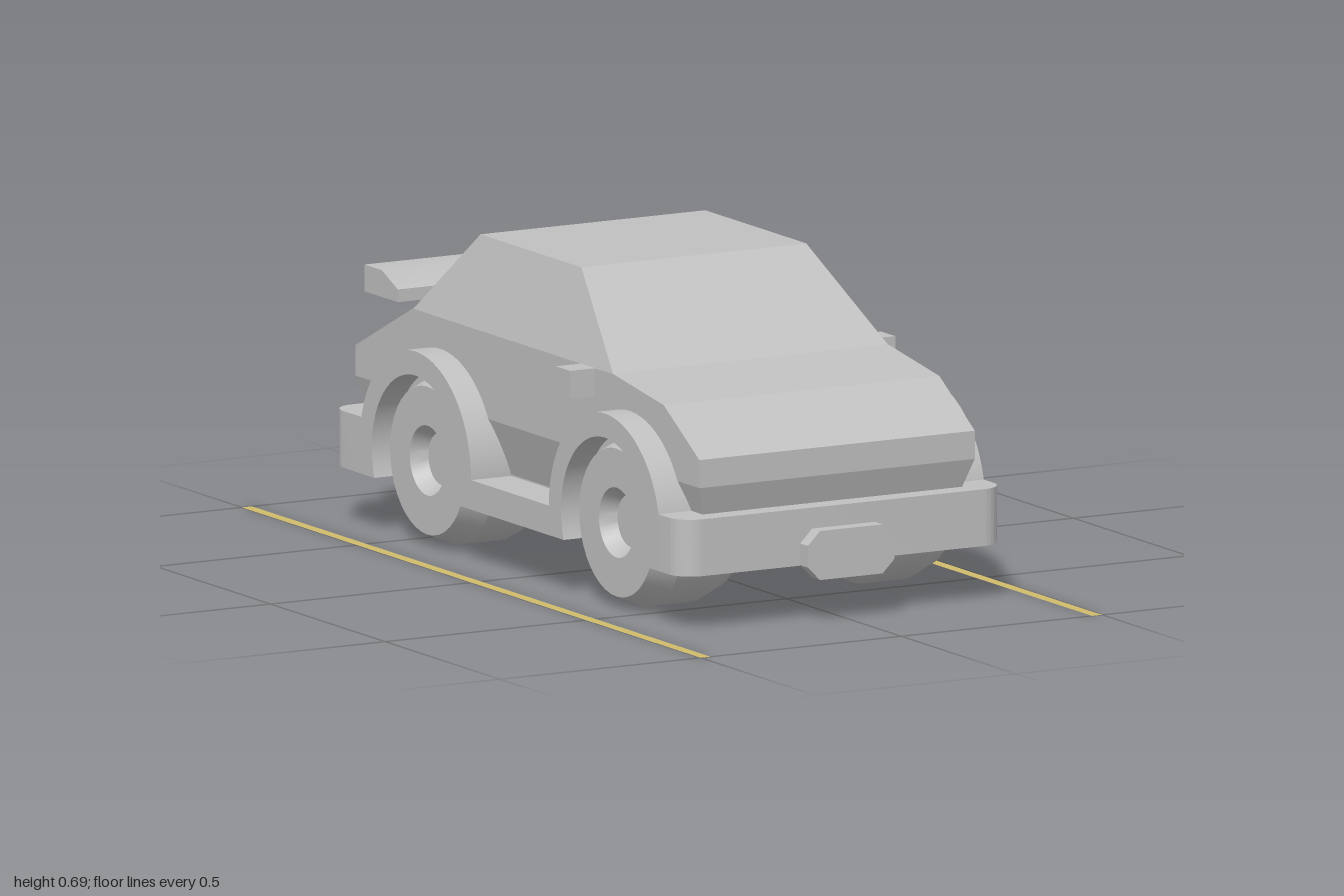
import * as THREE from 'three';
import { toCreasedNormals } from 'three/addons/utils/BufferGeometryUtils.js';
import { ConvexGeometry } from 'three/addons/geometries/ConvexGeometry.js';

const WHEEL_Y = 0.19, WHEEL_Z = [0.415, -0.41];
const FLOOR = 0.125, SILL = 0.19, HALF = 0.405;

// Solid from a (z, y) side shape, running from x0 to x1
function extrudeX(shape, x0, x1) {
  const g = new THREE.ExtrudeGeometry(shape, { depth: x1 - x0, bevelEnabled: false, curveSegments: 32 });
  return toCreasedNormals(g.rotateY(-Math.PI / 2).translate(x1, 0, 0), 0.5);
}

function polygon(points) {
  return new THREE.Shape(points.map(p => new THREE.Vector2(...p)));
}

function box(x0, x1, y0, y1, z0, z1) {
  return new THREE.BoxGeometry(x1 - x0, y1 - y0, z1 - z0)
    .translate((x0 + x1) / 2, (y0 + y1) / 2, (z0 + z1) / 2);
}

// Convex hull of [half width, y, z] points mirrored in x
function hull(points) {
  return new ConvexGeometry(points.flatMap(([x, y, z]) =>
    [new THREE.Vector3(x, y, z), new THREE.Vector3(-x, y, z)]));
}

// Bumper with rounded outer corners, facing +z
function bumperGeometry(inner, outer) {
  const r = 0.055, s = new THREE.Shape();
  s.moveTo(-HALF, inner);
  s.lineTo(HALF, inner);
  s.lineTo(HALF, outer - r);
  s.absarc(HALF - r, outer - r, r, 0, Math.PI / 2, false);
  s.lineTo(-HALF + r, outer);
  s.absarc(-HALF + r, outer - r, r, Math.PI / 2, Math.PI, false);
  const g = new THREE.ExtrudeGeometry(s, { depth: 0.125, bevelEnabled: false, curveSegments: 8 });
  return toCreasedNormals(g.rotateX(Math.PI / 2).translate(0, 0.25, 0), 0.5);
}

// Octagonal plate on a bumper, facing +z
function plateGeometry(z) {
  const w = 0.108, h = 0.054, c = 0.03;
  const s = polygon([[-w, -h + c], [-w + c, -h], [w - c, -h], [w, -h + c],
    [w, h - c], [w - c, h], [-w + c, h], [-w, h - c]]);
  return new THREE.ExtrudeGeometry(s, { depth: 0.035, bevelEnabled: false }).translate(0, 0.15, z);
}

// Fender ring cut off at floor height
function archShape(z) {
  const R = 0.243, r = 0.19, drop = WHEEL_Y - FLOOR;
  const a = Math.asin(drop / R), b = Math.asin(drop / r);
  const s = new THREE.Shape();
  s.absarc(z, WHEEL_Y, R, -a, Math.PI + a, false);
  s.absarc(z, WHEEL_Y, r, Math.PI + b, -b, true);
  return s;
}

export function createModel() {
  const car = new THREE.Group();
  car.name = 'car';
  const grey = new THREE.MeshStandardMaterial({ color: 0xc0c0c0 });
  grey.name = 'light grey';
  const yellow = new THREE.MeshStandardMaterial({ color: 0xd0bc6c, side: THREE.DoubleSide });
  yellow.name = 'sand yellow';
  const add = (name, geometry, material = grey) => {
    const m = new THREE.Mesh(geometry, material);
    m.name = name;
    car.add(m);
    return m;
  };

  // Body shell, tapering in below the waist
  const w = 0.343;
  add('body', hull([
    [0.304, SILL, 0.68], [w, 0.313, 0.72], [w, 0.375, 0.72], [w, 0.47, 0.565], [w, 0.502, 0.345],
    [w, 0.502, -0.53], [w, 0.38, -0.78], [w, 0.313, -0.78], [0.304, SILL, -0.735],
  ]));
  add('cabin', hull([
    [w, 0.50, 0.345], [0.28, 0.69, 0.095], [0.28, 0.69, -0.345], [w, 0.50, -0.53],
  ]));

  // Floor and bumpers
  add('floor', box(-0.305, 0.305, FLOOR, 0.22, -0.61, 0.61));
  add('frontBumper', bumperGeometry(0.605, 0.748));
  add('rearBumper', bumperGeometry(0.60, 0.782)).rotation.y = Math.PI;
  add('frontPlate', plateGeometry(0.747));
  add('rearPlate', plateGeometry(0.78)).rotation.y = Math.PI;

  // Wheel with bevelled tyre and dished hub
  const wheelProfile = [[0, -0.11], [0.163, -0.11], [0.188, -0.05], [0.188, 0.05],
    [0.163, 0.11], [0.077, 0.11], [0.057, 0.075], [0, 0.075]].map(p => new THREE.Vector2(...p));
  const wheel = toCreasedNormals(new THREE.LatheGeometry(wheelProfile, 40), 0.35);

  for (const side of [1, -1]) {
    const label = side > 0 ? 'left' : 'right';
    const x0 = side > 0 ? 0.30 : -HALF, x1 = side > 0 ? HALF : -0.30;
    add(label + 'Sill', box(x0, x1, FLOOR, SILL, -0.22, 0.225));
    WHEEL_Z.forEach((z, i) => {
      const end = i ? 'Rear' : 'Front';
      add(label + end + 'Arch', extrudeX(archShape(z), x0, x1));
      const m = add(label + end + 'Wheel', wheel);
      m.rotation.z = -side * Math.PI / 2;
      m.position.set(side * 0.265, WHEEL_Y, z);
    });
    add(label + 'Mirror', box(side > 0 ? 0.33 : -HALF, side > 0 ? HALF : -0.33, 0.44, 0.502, 0.203, 0.265));
    add(label + 'WingSupport', box(side * 0.155 - 0.025, side * 0.155 + 0.025, 0.39, 0.515, -0.70, -0.63));

    // Flat ground line beside the car
    add(label + 'GroundStrip', new THREE.PlaneGeometry(0.025, 2)
      .rotateX(-Math.PI / 2).translate(side * 0.4875, 0.001, 0), yellow);
  }

  // Rear wing
  add('rearWing', extrudeX(polygon([[-0.595, 0.505], [-0.74, 0.505], [-0.74, 0.564],
    [-0.665, 0.564], [-0.595, 0.533]]), -w, w));

  return car;
}
